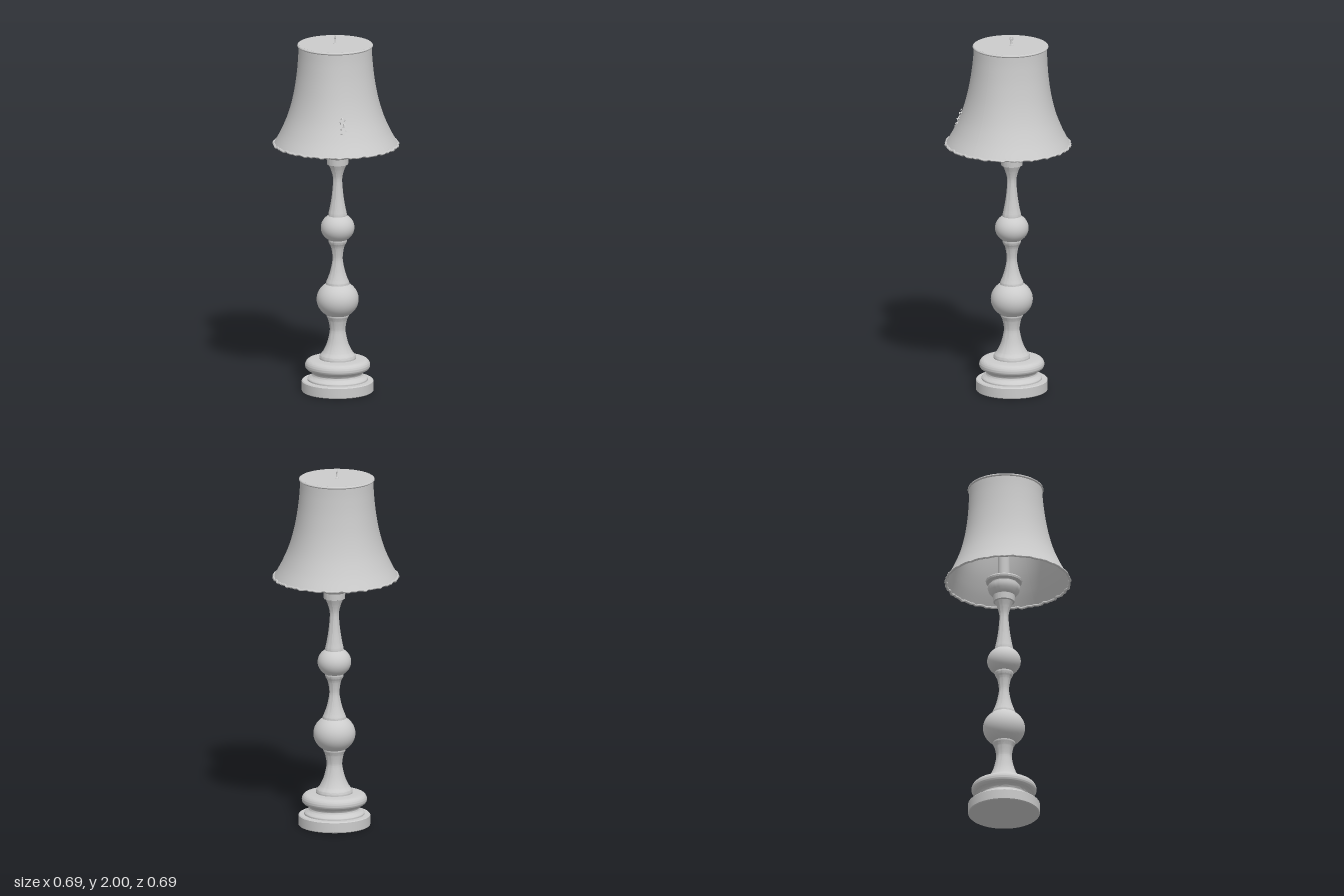
import * as THREE from 'three';
import { toCreasedNormals } from 'three/addons/utils/BufferGeometryUtils.js';

const material = new THREE.MeshStandardMaterial({ color: 0xcccccc, side: THREE.DoubleSide });

function add(parent, name, geometry) {
  const mesh = new THREE.Mesh(geometry, material);
  mesh.name = name;
  parent.add(mesh);
  return mesh;
}

// Turned part from [radius, height] pairs; smooth runs them through a spline
function turned(parent, name, pairs, smooth = true, segments = 64) {
  let points = pairs.map(([r, y]) => new THREE.Vector2(r, y));
  if (smooth) points = new THREE.SplineCurve(points).getPoints(pairs.length * 5);
  points.forEach(p => { p.x = Math.max(p.x, 0); });
  return add(parent, name, toCreasedNormals(new THREE.LatheGeometry(points, segments), 0.6));
}

function ball(parent, name, radius, y, squash) {
  const mesh = add(parent, name, new THREE.SphereGeometry(radius, 48, 28));
  mesh.position.y = y;
  mesh.scale.y = squash;
}

// Repeatable unevenness around the cloth, seamless over a full turn
const ripple = a => Math.sin(a * 23 + 1) * 0.4 + Math.sin(a * 41 + 2.3) * 0.35 + Math.sin(a * 67) * 0.25;

// Lean, slight tilt and hanging unevenness of the shade
function drape(geometry, fray = 0) {
  const p = geometry.attributes.position;
  for (let i = 0; i < p.count; i++) {
    const x = p.getX(i), y = p.getY(i), z = p.getZ(i);
    const t = THREE.MathUtils.clamp((y - 1.39) / 0.56, 0, 1);
    const a = Math.atan2(z, x);
    const swell = 1 + 0.005 * Math.sin(a * 5 + 1) * Math.sin(t * Math.PI) + fray * ripple(a);
    p.setXYZ(i, x * swell + 0.008 * t, y - 0.009 * x * (1 - t) + fray * 0.3 * ripple(a + 1), z * swell - 0.012 * t);
  }
  geometry.computeVertexNormals();
  return geometry;
}

const shadeCurve = new THREE.SplineCurve([
  [0.338, 1.396], [0.298, 1.47], [0.26, 1.56], [0.232, 1.66], [0.213, 1.77], [0.203, 1.87], [0.2, 1.94],
].map(([r, y]) => new THREE.Vector2(r, y)));

export function createModel() {
  const lamp = new THREE.Group();
  lamp.name = 'tableLamp';

  // Stand, turned around its own slightly offset axis
  const stand = new THREE.Group();
  stand.name = 'stand';
  stand.position.set(0.021, 0, -0.005);
  lamp.add(stand);

  turned(stand, 'plinth', [[0, 0], [0.192, 0], [0.196, 0.004], [0.196, 0.057], [0.191, 0.062], [0, 0.066]], false);
  turned(stand, 'baseGroove', [[0.165, 0.062], [0.163, 0.073], [0.145, 0.085], [0.137, 0.098], [0.143, 0.11], [0.158, 0.12]]);
  turned(stand, 'baseRing', [[0.13, 0.119], [0.158, 0.119], [0.174, 0.131], [0.178, 0.148], [0.17, 0.167], [0.15, 0.178], [0.09, 0.182]]);

  turned(stand, 'lowerFoot', [[0.1, 0.178], [0.098, 0.198], [0.078, 0.225], [0.058, 0.27], [0.044, 0.33], [0.044, 0.36], [0.052, 0.4], [0.061, 0.42], [0.061, 0.435]]);
  ball(stand, 'lowerBall', 0.115, 0.515, 0.9);
  turned(stand, 'middleSpindle', [[0.064, 0.595], [0.064, 0.608], [0.053, 0.635], [0.04, 0.675], [0.029, 0.73], [0.029, 0.765], [0.037, 0.81], [0.05, 0.837], [0.05, 0.86]]);
  ball(stand, 'upperBall', 0.092, 0.918, 0.88);
  turned(stand, 'upperSpindle', [[0.051, 0.985], [0.05, 0.998], [0.043, 1.03], [0.033, 1.09], [0.026, 1.16], [0.026, 1.2], [0.036, 1.24], [0.049, 1.272]]);

  // Stepped cup and lip under the lamp holder
  turned(stand, 'cup', [[0.049, 1.272], [0.058, 1.275], [0.06, 1.31], [0.068, 1.316], [0.083, 1.335], [0.089, 1.355], [0.087, 1.37], [0.076, 1.376], [0.076, 1.383], [0.097, 1.39], [0.1, 1.4], [0.096, 1.407], [0, 1.41]], false);

  const pole = add(stand, 'pole', new THREE.CylinderGeometry(0.032, 0.032, 0.15, 32));
  pole.position.y = 1.48;
  const rod = add(stand, 'supportRod', new THREE.CylinderGeometry(0.008, 0.008, 0.4, 16));
  rod.position.set(-0.009, 1.752, -0.009);

  // Flared cloth shade
  const shade = new THREE.Group();
  shade.name = 'shade';
  lamp.add(shade);
  add(shade, 'shadeCloth', drape(new THREE.LatheGeometry(shadeCurve.getPoints(36), 128)));

  // Rolled upper rim and closed top
  const rim = new THREE.TorusGeometry(0.2, 0.007, 10, 96).rotateX(Math.PI / 2).translate(0, 1.944, 0);
  add(shade, 'topRim', drape(rim));
  const top = add(shade, 'topCover', new THREE.CylinderGeometry(0.2, 0.2, 0.006, 96));
  top.position.set(0.008, 1.948, -0.012);

  // Frayed hem
  const hem = new THREE.TorusGeometry(0.338, 0.007, 8, 220).rotateX(Math.PI / 2).translate(0, 1.394, 0);
  add(shade, 'frayedHem', drape(hem, 0.013));

  // Small worn patch: short loose threads lying on the cloth at the front
  const worn = new THREE.Group();
  worn.name = 'wornPatch';
  shade.add(worn);
  for (let i = 0; i < 9; i++) {
    const y = 1.51 + i * 0.011;
    const r = shadeCurve.getPoint((y - 1.396) / 0.56).x + 0.003;
    const a = 2.36 + 0.05 * Math.sin(i * 2.4);
    const thread = add(worn, 'looseThread', new THREE.TetrahedronGeometry(0.012));
    thread.position.set(Math.cos(a) * r, y, Math.sin(a) * r);
    thread.rotation.set(i, i * 1.7, 0);
    thread.scale.set(0.7, 1, 0.5);
  }

  // Finial with a small eye
  const finial = new THREE.Group();
  finial.name = 'finial';
  finial.position.set(0.012, 1.95, -0.015);
  lamp.add(finial);
  turned(finial, 'finialStem', [[0.012, 0], [0.01, 0.004], [0.0045, 0.007], [0.004, 0.034]], false, 16);
  const eye = add(finial, 'finialEye', new THREE.TorusGeometry(0.008, 0.003, 8, 20));
  eye.position.y = 0.039;
  eye.rotation.y = 0.6;

  return lamp;
}
